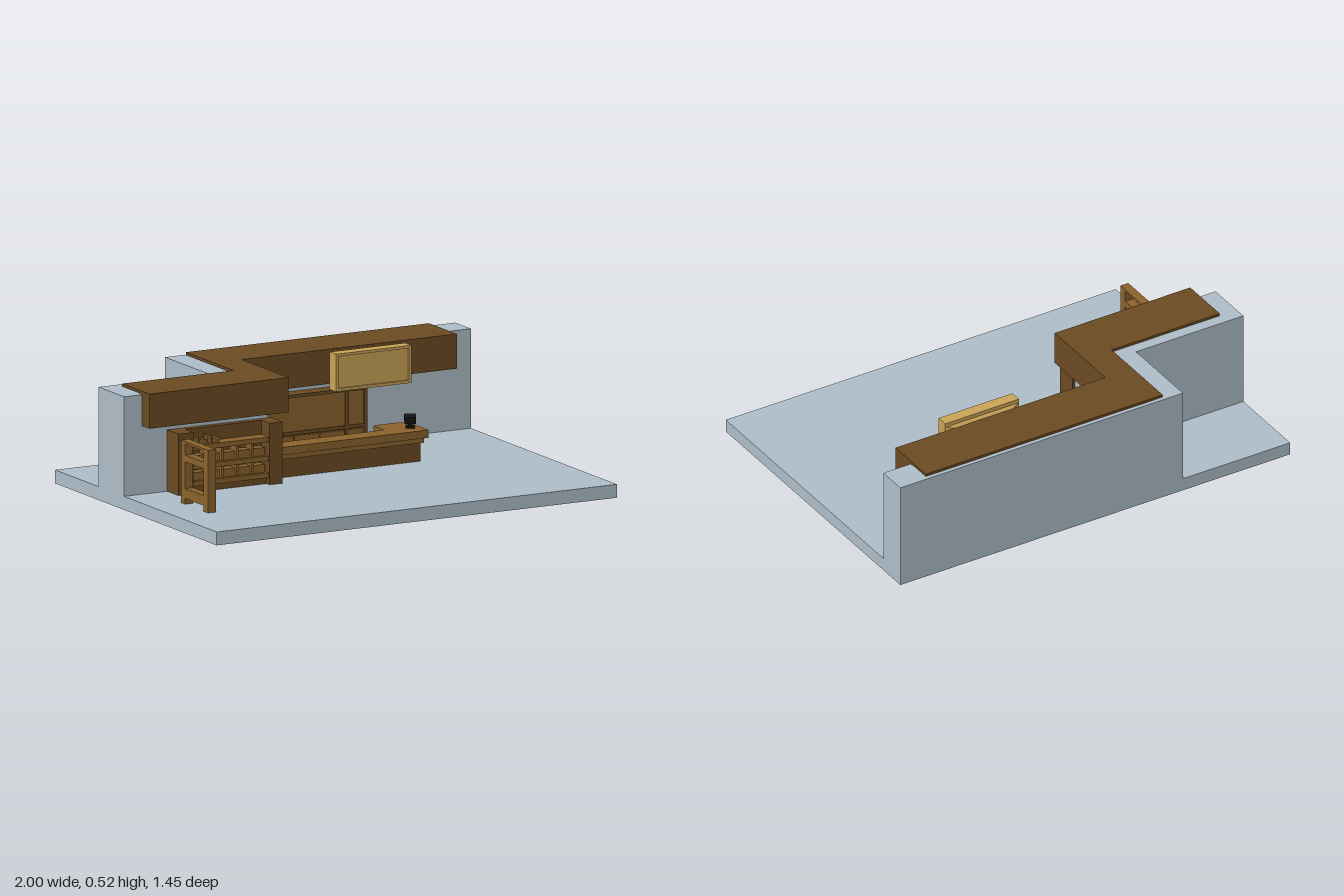
import * as THREE from 'three';

const mat = (name, color) => {
  const m = new THREE.MeshStandardMaterial({ color });
  m.name = name;
  return m;
};

export function createModel() {
  const stone = mat('paleStone', 0xaebdc8);
  const dark = mat('darkWood', 0x6b4a22);
  const wood = mat('warmWood', 0x8b622c);
  const gold = mat('goldenWood', 0xc9a356);
  const black = mat('black', 0x161616);

  const root = new THREE.Group();
  const group = (name) => {
    const g = new THREE.Group();
    g.name = name;
    root.add(g);
    return g;
  };
  const put = (parent, name, geo, material) => {
    const m = new THREE.Mesh(geo, material);
    m.name = name;
    parent.add(m);
    return m;
  };
  // box given by its limits on each axis
  const box = (parent, name, material, [x0, x1], [y0, y1], [z0, z1]) => {
    const m = put(parent, name, new THREE.BoxGeometry(x1 - x0, y1 - y0, z1 - z0), material);
    m.position.set((x0 + x1) / 2, (y0 + y1) / 2, (z0 + z1) / 2);
    return m;
  };
  // plan outline in (x, z), raised from y0 to y1
  const slab = (parent, name, material, pts, y0, y1) => {
    const shape = new THREE.Shape(pts.map(([x, z]) => new THREE.Vector2(x, -z)));
    const geo = new THREE.ExtrudeGeometry(shape, { depth: y1 - y0, bevelEnabled: false });
    geo.rotateX(-Math.PI / 2).translate(0, y0, 0);
    return put(parent, name, geo, material);
  };

  // floor and stepped wall
  const room = group('room');
  box(room, 'floor', stone, [-1, 1], [0, 0.06], [-0.725, 0.725]);
  slab(room, 'wall', stone, [[1, -0.725], [-0.45, -0.725], [-0.45, -0.335], [-1, -0.335],
    [-1, -0.105], [-0.28, -0.105], [-0.28, -0.585], [1, -0.585]], 0.06, 0.505);

  // canopy: deep front fascia with a thin cap lying over the wall
  const canopy = group('canopy');
  slab(canopy, 'canopyCap', dark, [[-0.91, -0.04], [-0.215, -0.04], [-0.215, -0.46], [0.86, -0.46],
    [0.86, -0.71], [-0.355, -0.71], [-0.355, -0.285], [-0.91, -0.285]], 0.508, 0.52);
  slab(canopy, 'canopyBody', dark, [[-0.91, -0.04], [-0.215, -0.04], [-0.215, -0.46], [0.86, -0.46],
    [0.86, -0.6], [-0.3, -0.6], [-0.3, -0.13], [-0.91, -0.13]], 0.365, 0.508);

  // hanging sign with raised rim and tapered mount
  const sign = group('sign');
  box(sign, 'signPanel', gold, [0.205, 0.57], [0.36, 0.515], [-0.41, -0.365]);
  for (const x of [[0.197, 0.21], [0.562, 0.575]]) box(sign, 'signRimSide', gold, x, [0.352, 0.52], [-0.41, -0.355]);
  for (const y of [[0.352, 0.365], [0.508, 0.52]]) box(sign, 'signRimEdge', gold, [0.21, 0.562], y, [-0.41, -0.355]);
  const mount = new THREE.BoxGeometry(0.37, 0.14, 0.05);
  const p = mount.attributes.position;
  for (let i = 0; i < p.count; i++) {
    if (p.getZ(i) < 0) p.setXY(i, p.getX(i) * 0.28, p.getY(i) * 0.4);
  }
  const flat = mount.toNonIndexed();
  flat.computeVertexNormals();
  put(sign, 'signMount', flat, gold).position.set(0.386, 0.432, -0.435);

  // display shelf on the left
  const shelf = group('displayShelf');
  box(shelf, 'shelfBack', dark, [-0.71, -0.33], [0.06, 0.335], [-0.105, -0.075]);
  box(shelf, 'shelfPostRight', dark, [-0.785, -0.71], [0.06, 0.335], [-0.105, -0.003]);
  box(shelf, 'shelfPostLeft', dark, [-0.33, -0.265], [0.06, 0.335], [-0.105, -0.003]);
  box(shelf, 'shelfPlinth', dark, [-0.71, -0.33], [0.06, 0.09], [-0.08, -0.03]);
  for (const y of [0.09, 0.165, 0.25]) {
    box(shelf, 'shelfBoard', wood, [-0.71, -0.33], [y, y + 0.022], [-0.078, -0.012]);
  }
  for (const y of [0.112, 0.187]) {
    for (let i = 0; i < 5; i++) {
      const x = -0.71 + i * 0.076;
      if (i) box(shelf, 'shelfDivider', wood, [x - 0.005, x + 0.005], [y, y + 0.063], [-0.076, -0.018]);
      box(shelf, 'shelfBin', wood, [x + 0.007, x + 0.069], [y, y + 0.036], [-0.074, -0.03]);
    }
  }
  [[-0.7, 0.03, 0.03], [-0.665, 0.035, 0.02], [-0.625, 0.02, 0.035], [-0.6, 0.035, 0.025]].forEach(([x, w, h]) =>
    box(shelf, 'shelfGoods', wood, [x, x + w], [0.272, 0.272 + h], [-0.06, -0.03]));

  // service counter with a return at its left end
  const counter = group('counter');
  slab(counter, 'counterTop', wood, [[-0.265, -0.085], [0.51, -0.085], [0.51, -0.262], [0.49, -0.262],
    [0.49, -0.272], [0.478, -0.283], [0.352, -0.283], [0.34, -0.272], [0.34, -0.18], [-0.265, -0.18]], 0.165, 0.2);
  slab(counter, 'counterTrim', wood, [[-0.265, -0.095], [0.492, -0.095], [0.492, -0.26],
    [0.35, -0.26], [0.35, -0.17], [-0.265, -0.17]], 0.143, 0.165);
  slab(counter, 'counterBase', dark, [[-0.265, -0.105], [0.48, -0.105], [0.48, -0.25],
    [0.36, -0.25], [0.36, -0.165], [-0.265, -0.165]], 0.06, 0.143);

  // till on the counter, turned and tilted
  const till = group('till');
  till.position.set(0.465, 0.2, -0.17);
  till.rotation.y = -0.45;
  box(till, 'tillFoot', black, [-0.02, 0.02], [0, 0.008], [-0.022, 0.022]);
  box(till, 'tillStem', black, [-0.008, 0.008], [0.008, 0.035], [-0.008, 0.008]);
  box(till, 'tillScreen', black, [-0.025, 0.025], [0.022, 0.054], [-0.018, 0.018]).rotation.x = 0.3;

  // cabinet against the back wall
  const cabinet = group('backCabinet');
  box(cabinet, 'cabinetBody', dark, [-0.065, 0.445], [0.06, 0.32], [-0.588, -0.528]);
  for (const x of [[-0.065, -0.05], [0.337, 0.353], [0.43, 0.445]]) {
    box(cabinet, 'cabinetStile', dark, x, [0.06, 0.32], [-0.53, -0.518]);
  }
  for (const y of [[0.06, 0.072], [0.14, 0.155], [0.306, 0.32]]) {
    box(cabinet, 'cabinetRail', dark, [-0.05, 0.43], y, [-0.53, -0.518]);
  }
  box(cabinet, 'cabinetPanel', wood, [-0.05, 0.337], [0.155, 0.306], [-0.53, -0.524]);
  box(cabinet, 'cabinetSidePanel', wood, [0.353, 0.43], [0.155, 0.306], [-0.53, -0.524]);
  for (const [a, b] of [[-0.045, 0.075], [0.083, 0.203], [0.211, 0.332], [0.357, 0.426]]) {
    box(cabinet, 'cabinetDrawer', wood, [a, b], [0.078, 0.134], [-0.53, -0.523]);
  }
  for (const x of [-0.03, 0.305]) box(cabinet, 'cabinetHandle', black, [x, x + 0.018], [0.088, 0.112], [-0.525, -0.515]);

  // door in the side wall
  const door = group('door');
  for (const z of [[-0.425, -0.41], [-0.21, -0.195]]) box(door, 'doorJamb', dark, [-0.285, -0.23], [0.06, 0.305], z);
  box(door, 'doorLintel', dark, [-0.285, -0.23], [0.282, 0.305], [-0.41, -0.21]);
  box(door, 'doorPanel', wood, [-0.285, -0.245], [0.06, 0.282], [-0.41, -0.21]);
  box(door, 'doorInset', wood, [-0.245, -0.239], [0.08, 0.265], [-0.395, -0.225]);

  // open rack standing near the right edge
  const rack = group('standingRack');
  const rx = [-0.845, -0.805];
  for (const z of [[0.125, 0.165], [0.33, 0.37]]) box(rack, 'rackPost', wood, rx, [0.06, 0.34], z);
  for (const y of [[0.085, 0.13], [0.25, 0.28], [0.33, 0.34]]) box(rack, 'rackRail', wood, rx, y, [0.165, 0.33]);

  return root;
}
